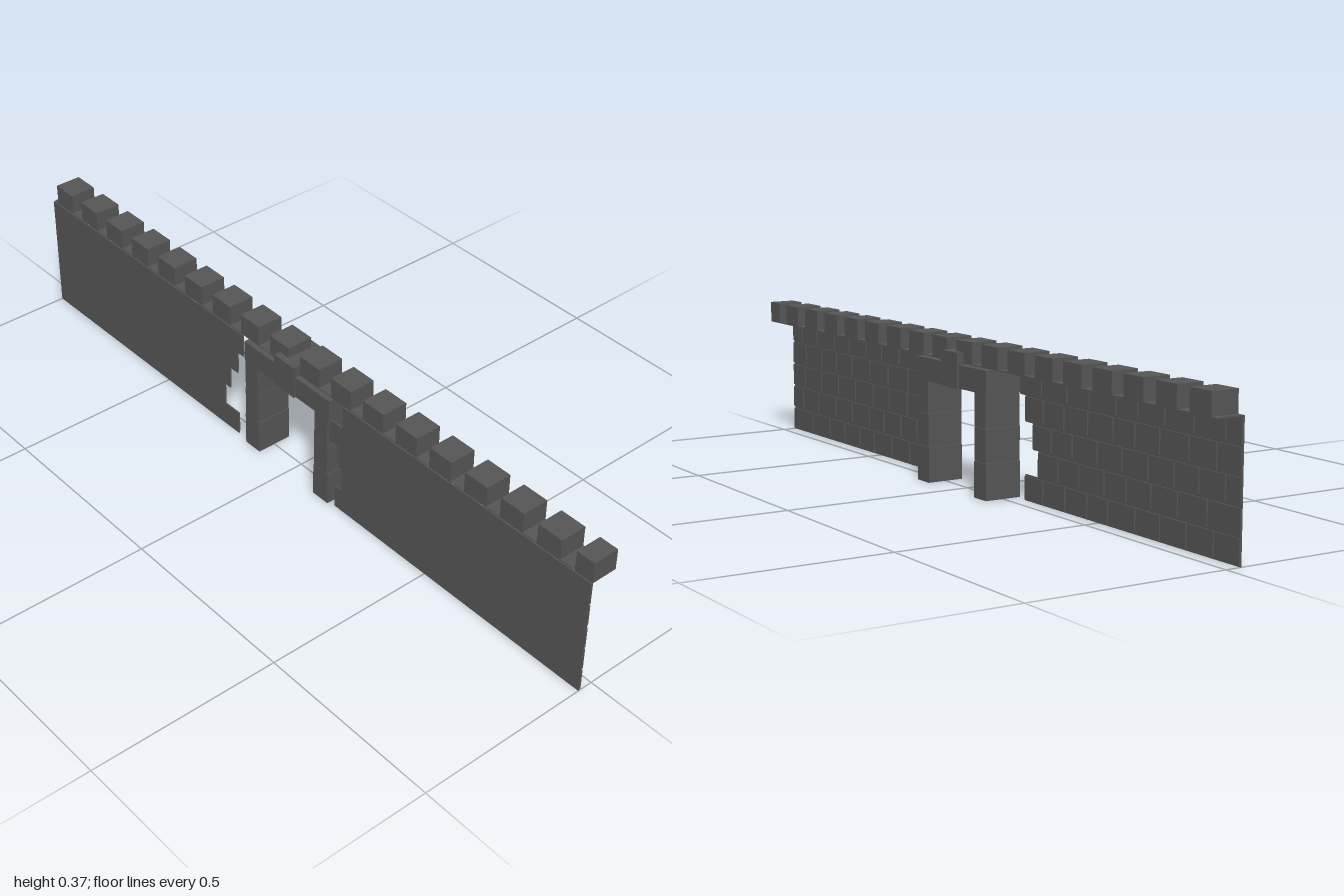
import * as THREE from 'three';

const stone = new THREE.MeshStandardMaterial({ color: 0x565657 });
stone.name = 'dark stone';

// Box given by its minimum and maximum corners
function block(parent, name, x0, x1, y0, y1, z0, z1) {
  const mesh = new THREE.Mesh(new THREE.BoxGeometry(x1 - x0, y1 - y0, z1 - z0), stone);
  mesh.position.set((x0 + x1) / 2, (y0 + y1) / 2, (z0 + z1) / 2);
  mesh.name = name;
  parent.add(mesh);
}

const ROW = 0.064;

// Thin wall panel, toothed toward the gate, with raised bricks behind it
function wall(name, outer, teeth, seed) {
  const group = new THREE.Group();
  group.name = name;
  const side = Math.sign(outer);
  const random = () => (seed = (seed * 16807) % 2147483647) / 2147483647;

  const points = [new THREE.Vector2(outer, 0)];
  teeth.forEach((x, i) => {
    points.push(new THREE.Vector2(x, i * ROW), new THREE.Vector2(x, (i + 1) * ROW));
  });
  points.push(new THREE.Vector2(outer, 5 * ROW));
  const panel = new THREE.Mesh(
    new THREE.ExtrudeGeometry(new THREE.Shape(points), { depth: 0.003, bevelEnabled: false }), stone);
  panel.position.z = 0.038;
  panel.name = 'wallPanel';
  group.add(panel);

  // Staggered brick courses
  teeth.forEach((inner, row) => {
    const gap = 0.003;
    let a = Math.abs(inner);
    while (a < 1) {
      let b = a + 0.08 + random() * 0.025;
      if (1 - b < 0.04) b = 1;
      const xs = [side * (a + gap), side * (b - (b === 1 ? 0 : gap))].sort((p, q) => p - q);
      block(group, 'brick', xs[0], xs[1], row * ROW + gap, (row + 1) * ROW - gap, 0.0345, 0.038);
      a = b;
    }
  });
  return group;
}

export function createModel() {
  const model = new THREE.Group();
  model.name = 'battlementWall';

  model.add(wall('rightWall', -1, [-0.2, -0.255, -0.232, -0.2, -0.177], 11));
  model.add(wall('leftWall', 1, [0.176, 0.2, 0.188, 0.155, 0.2], 47));

  // Walkway and merlons
  block(model, 'walkway', -1, 1, 0.318, 0.321, -0.035, 0.036);
  for (let i = 0; i < 18; i++) {
    const x = -0.985 + i * 0.1137;
    block(model, 'merlon', x, Math.min(x + 0.071, 1), 0.321, 0.374, -0.035, 0.036);
  }

  // Gate pillars of three stacked blocks
  for (const x of [-0.134, 0.131]) {
    const pillar = new THREE.Group();
    pillar.name = 'gatePillar';
    block(pillar, 'pillarBase', x - 0.027, x + 0.027, 0, 0.09, -0.049, 0.049);
    block(pillar, 'pillarMiddle', x - 0.025, x + 0.025, 0.091, 0.175, -0.049, 0.049);
    block(pillar, 'pillarTop', x - 0.024, x + 0.024, 0.176, 0.258, -0.049, 0.049);
    model.add(pillar);
  }

  // Lintel and keystone
  for (const s of [-1, 1]) {
    const xs = [s * 0.036, s * 0.16].sort((p, q) => p - q);
    block(model, 'lintel', xs[0], xs[1], 0.258, 0.316, -0.049, 0.049);
  }
  block(model, 'keystone', -0.038, 0.036, 0.257, 0.346, -0.054, 0.054);

  return model;
}
